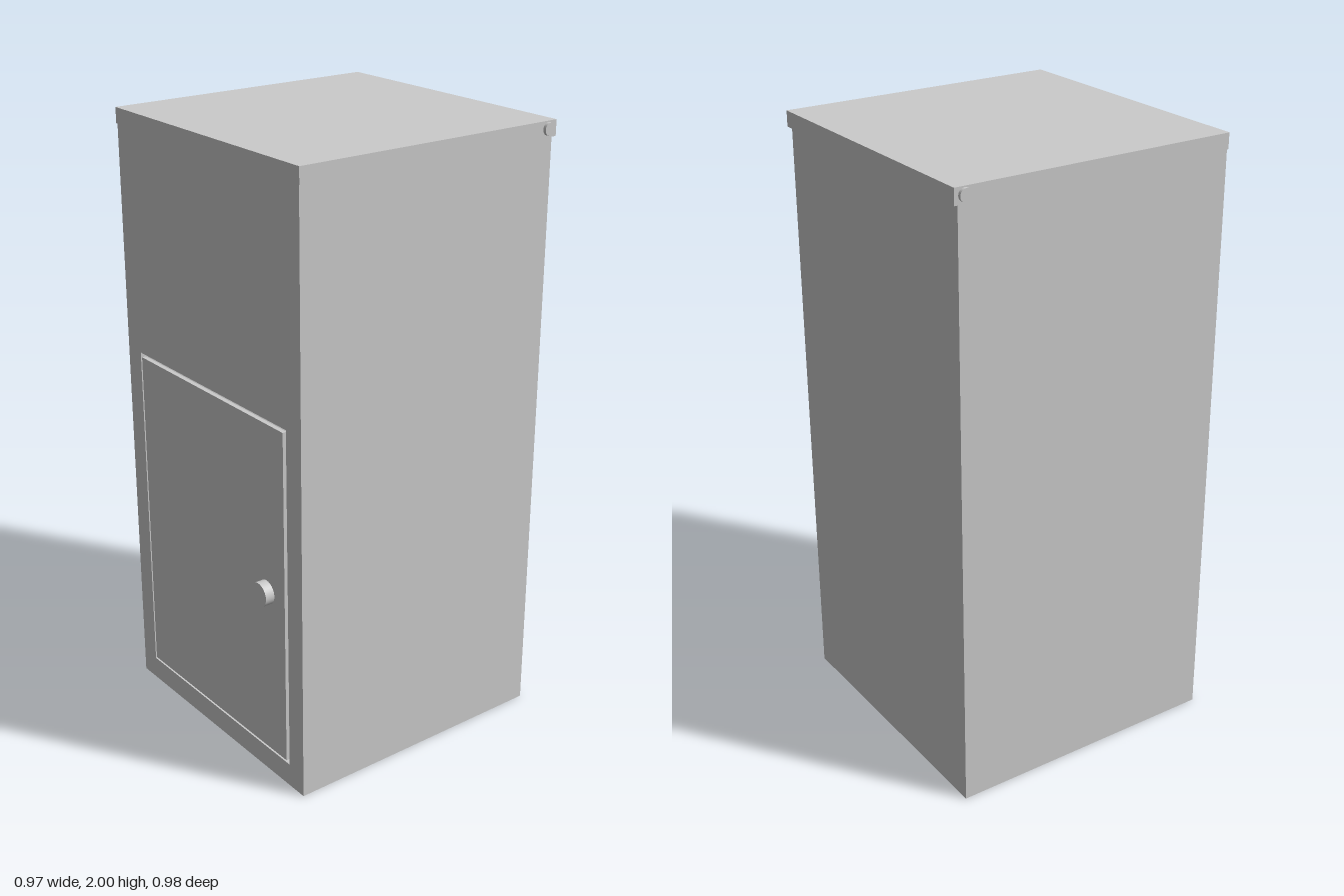
import * as THREE from 'three';

const solid = new THREE.MeshStandardMaterial({ color: 0xcccccc });
const sheet = new THREE.MeshStandardMaterial({ color: 0xcccccc, side: THREE.DoubleSide });

const HALF_W = 0.469, BACK = -0.477, FRONT = 0.455, WALL_TOP = 1.955;
const OPENING = { x: 0.397, y0: 0.077, y1: 1.22, depth: 0.085 };

function add(parent, name, geometry, material, x, y, z) {
  const mesh = new THREE.Mesh(geometry, material);
  mesh.name = name;
  mesh.position.set(x, y, z);
  parent.add(mesh);
  return mesh;
}

// Counter-clockwise rectangle corners
function corners(x, y0, y1) {
  return [[-x, y0], [x, y0], [x, y1], [-x, y1]].map(([a, b]) => new THREE.Vector2(a, b));
}

export function createModel() {
  const model = new THREE.Group();
  model.name = 'cabinet';

  // Thin sheet body, open underneath
  const body = new THREE.Group();
  body.name = 'body';
  model.add(body);

  const frontShape = new THREE.Shape(corners(HALF_W, 0, WALL_TOP));
  frontShape.holes.push(new THREE.Path(corners(OPENING.x, OPENING.y0, OPENING.y1).reverse()));
  add(body, 'frontPanel', new THREE.ShapeGeometry(frontShape), sheet, 0, 0, FRONT);

  const back = add(body, 'backPanel', new THREE.PlaneGeometry(2 * HALF_W, WALL_TOP), sheet, 0, WALL_TOP / 2, BACK);
  back.rotation.y = Math.PI;
  for (const s of [1, -1]) {
    const side = add(body, s > 0 ? 'leftPanel' : 'rightPanel',
      new THREE.PlaneGeometry(FRONT - BACK, WALL_TOP), sheet, s * HALF_W, WALL_TOP / 2, (FRONT + BACK) / 2);
    side.rotation.y = s * Math.PI / 2;
  }

  // Collar folded inward around the door opening
  const { x, y0, y1, depth } = OPENING;
  const collarZ = FRONT - depth / 2;
  for (const s of [1, -1]) {
    const jamb = add(body, 'doorJamb', new THREE.PlaneGeometry(depth, y1 - y0), sheet, s * x, (y0 + y1) / 2, collarZ);
    jamb.rotation.y = -s * Math.PI / 2;
    const rail = add(body, s > 0 ? 'doorHeader' : 'doorSill',
      new THREE.PlaneGeometry(2 * x, depth), sheet, 0, s > 0 ? y1 : y0, collarZ);
    rail.rotation.x = s * Math.PI / 2;
  }

  // Door, standing slightly proud of the front, with a round knob
  const door = new THREE.Group();
  door.name = 'door';
  model.add(door);
  add(door, 'doorPanel', new THREE.BoxGeometry(0.77, 1.12, 0.014), solid, 0, 0.648, 0.451);
  const knob = add(door, 'knob', new THREE.CylinderGeometry(0.039, 0.039, 0.033, 32), solid, 0.293, 0.65, 0.4725);
  knob.rotation.x = Math.PI / 2;

  // Lid overhanging at the back
  add(model, 'lid', new THREE.BoxGeometry(0.946, 0.05, 0.947), solid, 0, 1.975, -0.0165);

  // Hinge pins at the rear of the lid
  for (const s of [1, -1]) {
    const pin = add(model, 'hingePin', new THREE.CylinderGeometry(0.02, 0.02, 0.02, 24), solid, s * 0.473, 1.976, -0.457);
    pin.rotation.z = Math.PI / 2;
  }

  return model;
}
